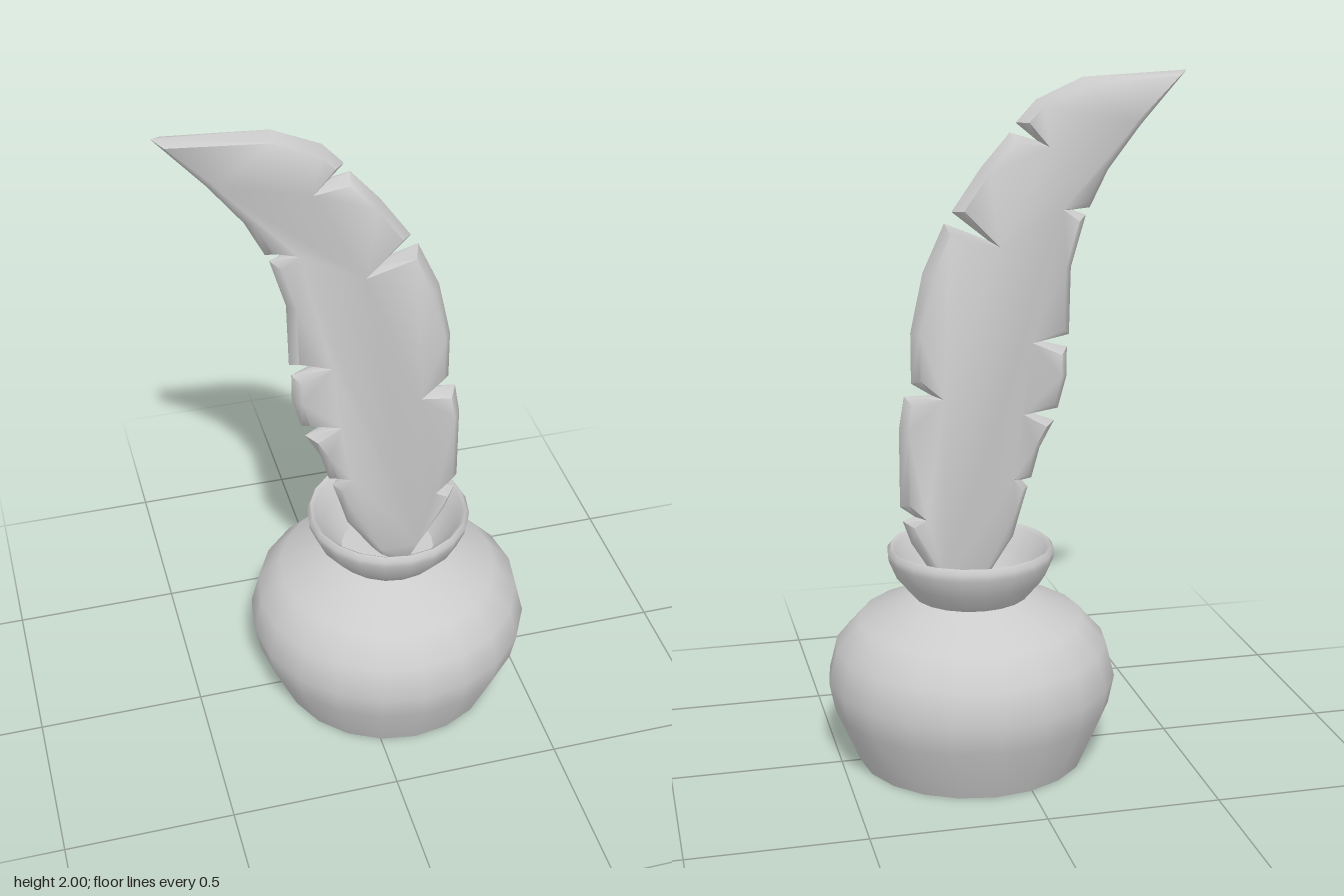
import * as THREE from 'three';
import { toCreasedNormals } from 'three/addons/utils/BufferGeometryUtils.js';

const material = new THREE.MeshStandardMaterial({ color: 0xcccccc });
const POT_X = 0.107;

function addMesh(parent, name, geometry, crease) {
  const mesh = new THREE.Mesh(toCreasedNormals(geometry, crease), material);
  mesh.name = name;
  parent.add(mesh);
  return mesh;
}

const points = (list) => list.map(([x, y]) => new THREE.Vector2(x, y));

// Squat ink pot with a pinched neck, flared lip and hollow mouth
function makePot(parent) {
  const outerAndLip = points([
    [0, 0], [0.337, 0], [0.408, 0.165], [0.425, 0.25], [0.4, 0.35], [0.33, 0.428],
    [0.17, 0.5], [0.22, 0.56], [0.243, 0.615], [0.245, 0.635], [0.235, 0.65],
    [0.222, 0.64], [0.2, 0.58], [0.14, 0.5],
  ]);
  addMesh(parent, 'inkPot', new THREE.LatheGeometry(outerAndLip, 20), 0.95).position.x = POT_X;

  // Flat ink surface inside the mouth
  const ink = new THREE.CircleGeometry(0.142, 20).rotateX(-Math.PI / 2);
  addMesh(parent, 'inkSurface', ink, 0.5).position.set(POT_X, 0.5, 0);
}

// Curved feather with notched edges; both faces bevel to a central ridge
function makeQuill(parent) {
  const outline = points([
    // tip and convex edge, going down
    [-0.535, 2.0], [-0.23, 1.985], [-0.095, 1.925], [-0.037, 1.862],
    [-0.1, 1.81], [-0.02, 1.835], [0.063, 1.74], [0.148, 1.618],
    [0.042, 1.533], [0.17, 1.586], [0.233, 1.448], [0.27, 1.278], [0.27, 1.13],
    [0.212, 1.093], [0.291, 1.093], [0.307, 0.997], [0.307, 0.764],
    [0.265, 0.732], [0.3, 0.72], [0.275, 0.65],
    // narrow foot dipped in the ink
    [0.2, 0.53], [0.165, 0.47], [0.1, 0.47], [0.05, 0.53],
    // concave edge, going up
    [-0.03, 0.65], [-0.053, 0.73], [-0.074, 0.8], [-0.055, 0.822], [-0.085, 0.827],
    [-0.11, 0.918], [-0.153, 0.997], [-0.085, 1.023], [-0.164, 1.034],
    [-0.19, 1.13], [-0.19, 1.215], [-0.111, 1.236], [-0.196, 1.252],
    [-0.2, 1.448], [-0.243, 1.597], [-0.2, 1.613], [-0.254, 1.618],
    [-0.307, 1.724], [-0.4, 1.846],
  ]);
  const bevel = 0.022;
  const geometry = new THREE.ExtrudeGeometry(new THREE.Shape(outline), {
    depth: 0.002,
    bevelEnabled: true,
    bevelSegments: 1,
    bevelThickness: 0.032,
    bevelSize: bevel,
    bevelOffset: -bevel,
  });
  addMesh(parent, 'quillFeather', geometry, 1.0).position.z = 0.037;
}

export function createModel() {
  const model = new THREE.Group();
  model.name = 'quillAndInkPot';
  makePot(model);
  makeQuill(model);
  return model;
}
